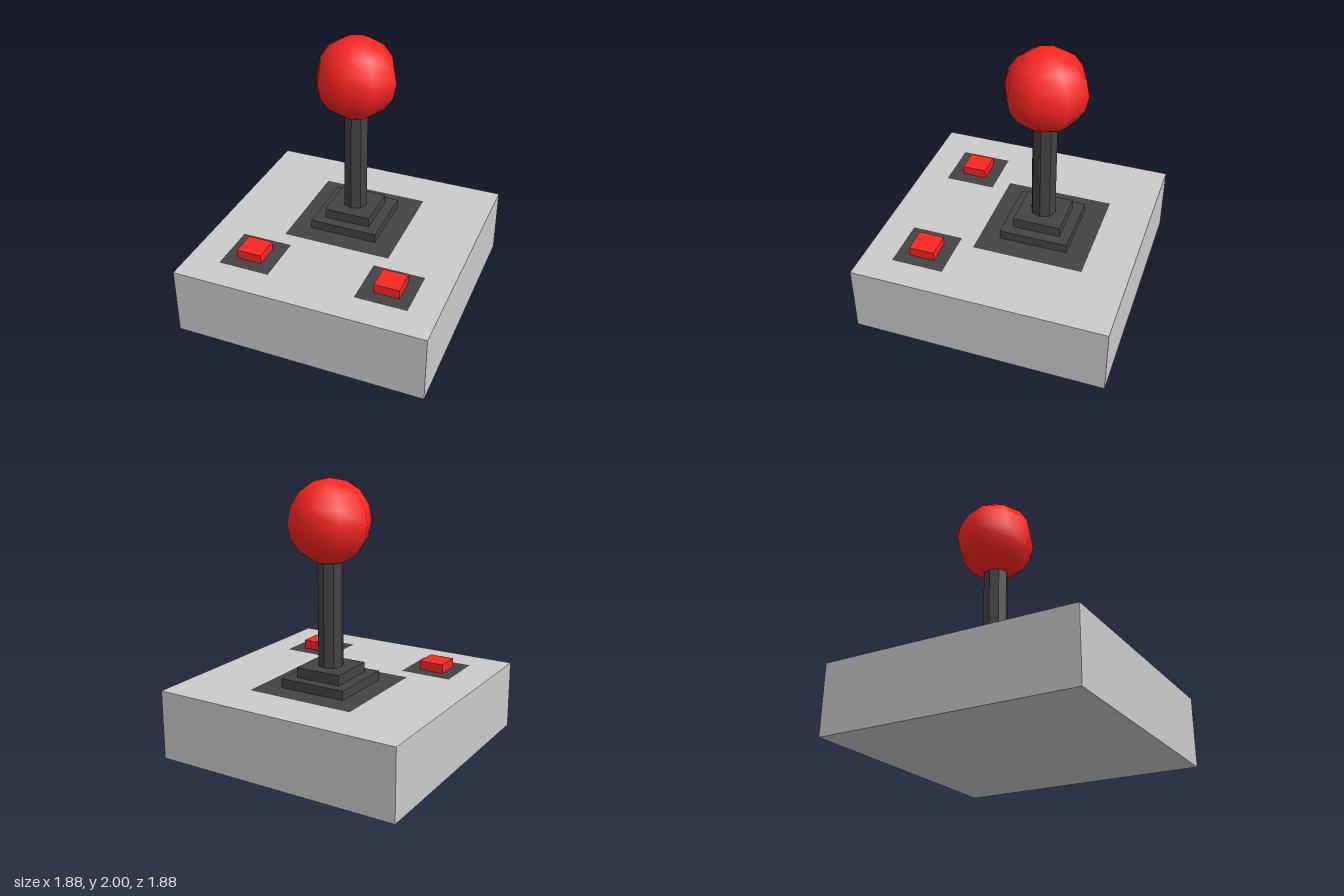
import * as THREE from 'three';

export function createModel() {
  const model = new THREE.Group();
  const grey = new THREE.MeshStandardMaterial({ color: 0xcccccc });
  const dark = new THREE.MeshStandardMaterial({ color: 0x454243, flatShading: true });
  const red = new THREE.MeshStandardMaterial({ color: 0xfb2622 });
  const top = 0.515; // height of the base's upper face
  const stickX = -0.005, stickZ = -0.19;

  function add(name, geometry, material, x, y, z) {
    const mesh = new THREE.Mesh(geometry, material);
    mesh.name = name;
    mesh.position.set(x, y, z);
    model.add(mesh);
    return mesh;
  }

  // Box standing on a given height
  const block = (name, w, h, d, material, x, y, z) =>
    add(name, new THREE.BoxGeometry(w, h, d), material, x, y + h / 2, z);

  // Flat dark panel lying on the base
  const panel = (name, size, x, z) =>
    add(name, new THREE.PlaneGeometry(size, size).rotateX(-Math.PI / 2), dark, x, top + 0.002, z);

  block('base', 1.88, top, 1.88, grey, 0, 0, 0);

  // Stick: panel, stepped collar, octagonal shaft, ball
  panel('stickPanel', 0.82, 0, -0.195);
  block('lowerCollar', 0.51, 0.07, 0.51, dark, stickX, top, stickZ);
  block('upperCollar', 0.35, 0.075, 0.355, dark, stickX, top + 0.07, stickZ);
  add('shaft', new THREE.CylinderGeometry(0.092, 0.092, 0.78, 8), dark, stickX, 1.05, stickZ);
  add('ball', new THREE.SphereGeometry(0.3, 8, 8), red, stickX, 1.7, -0.195);

  // Two square buttons near the front
  for (const [side, panelX, buttonX] of [['right', -0.502, -0.505], ['left', 0.535, 0.542]]) {
    panel(side + 'ButtonPanel', 0.385, panelX, 0.522);
    block(side + 'Button', 0.187, 0.07, 0.187, red, buttonX, top, 0.522);
  }

  return model;
}
